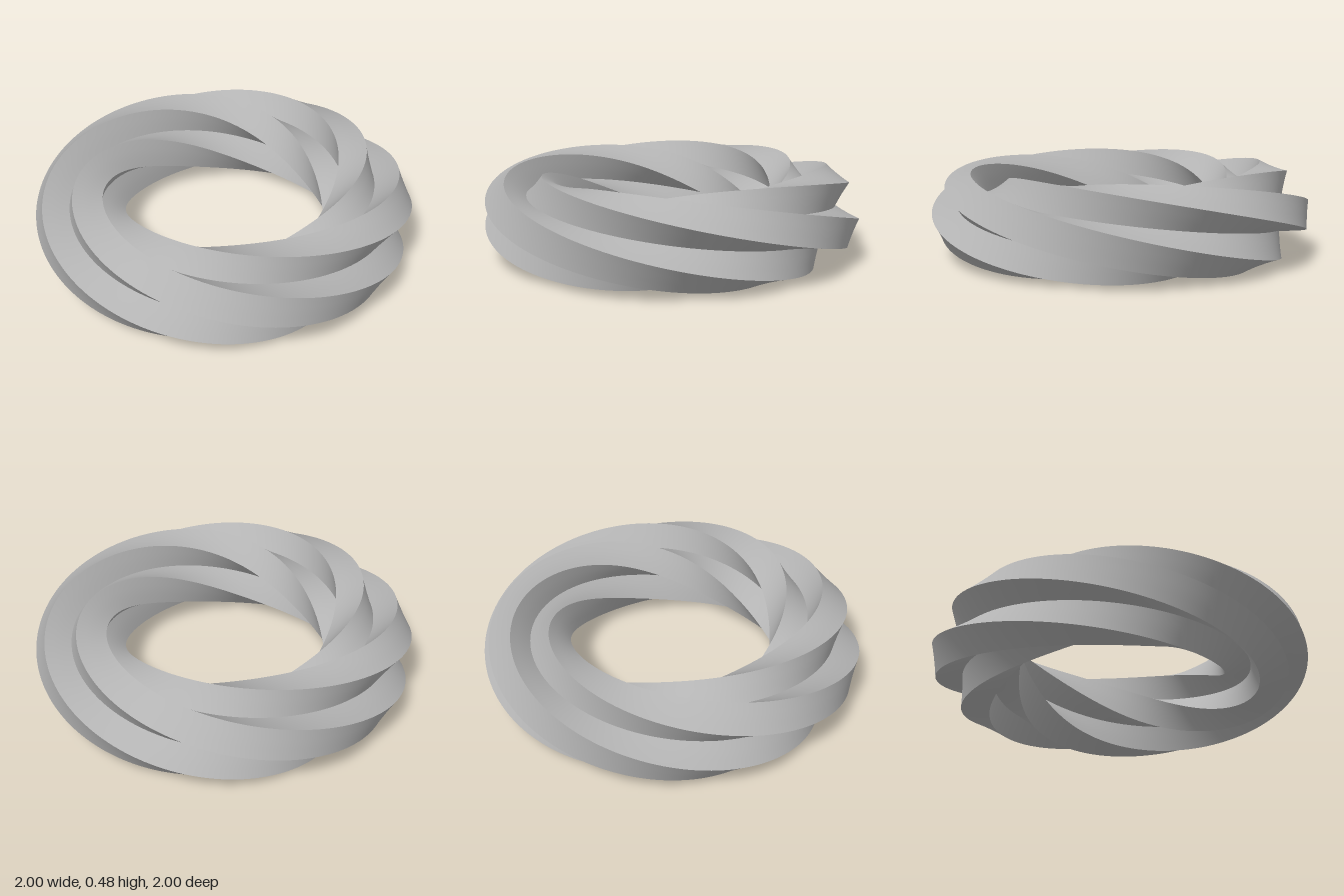
import * as THREE from 'three';

const RING = 0.772;   // radius of the ring's centre line
const ARM = 0.225;    // reach of each arm of the cross-section
const HALF = 0.081;   // half the width of an arm
const STEPS = 192;    // slices around the ring
const ROWS = 3;       // strips across each side

// Plus-shaped cross-section, anticlockwise, as [outward, up]
function crossSection() {
  const points = [];
  for (let k = 0; k < 4; k++) {
    const c = Math.round(Math.cos(k * Math.PI / 2));
    const s = Math.round(Math.sin(k * Math.PI / 2));
    for (const [u, v] of [[ARM, -HALF], [ARM, HALF], [HALF, HALF]]) {
      points.push([u * c - v * s, u * s + v * c]);
    }
  }
  return points;
}

// Sweeps the section round the ring with one full twist; sides share no vertices, so edges stay crisp
function twistedRingGeometry() {
  const section = crossSection();
  const centreHeight = Math.hypot(ARM, HALF);
  const positions = [];
  const indices = [];

  section.forEach((a, side) => {
    const b = section[(side + 1) % section.length];
    const base = positions.length / 3;
    for (let i = 0; i < STEPS; i++) {
      const phi = i / STEPS * Math.PI * 2;
      const c = Math.cos(phi), s = Math.sin(phi);
      for (let j = 0; j <= ROWS; j++) {
        const u = THREE.MathUtils.lerp(a[0], b[0], j / ROWS);
        const v = THREE.MathUtils.lerp(a[1], b[1], j / ROWS);
        const radius = RING + u * c + v * s;
        positions.push(radius * s, centreHeight + v * c - u * s, radius * c);
      }
      for (let j = 0; j < ROWS; j++) {
        const p = base + i * (ROWS + 1) + j;
        const q = base + ((i + 1) % STEPS) * (ROWS + 1) + j;
        indices.push(p, q, p + 1, q, q + 1, p + 1);
      }
    }
  });

  const geometry = new THREE.BufferGeometry();
  geometry.setAttribute('position', new THREE.Float32BufferAttribute(positions, 3));
  geometry.setIndex(indices);
  geometry.computeVertexNormals();
  return geometry;
}

export function createModel() {
  const group = new THREE.Group();
  group.name = 'twistedRingModel';

  const grey = new THREE.MeshStandardMaterial({ color: 0xb3b3b3 });
  grey.name = 'grey';

  const ring = new THREE.Mesh(twistedRingGeometry(), grey);
  ring.name = 'twistedRing';
  group.add(ring);
  return group;
}
